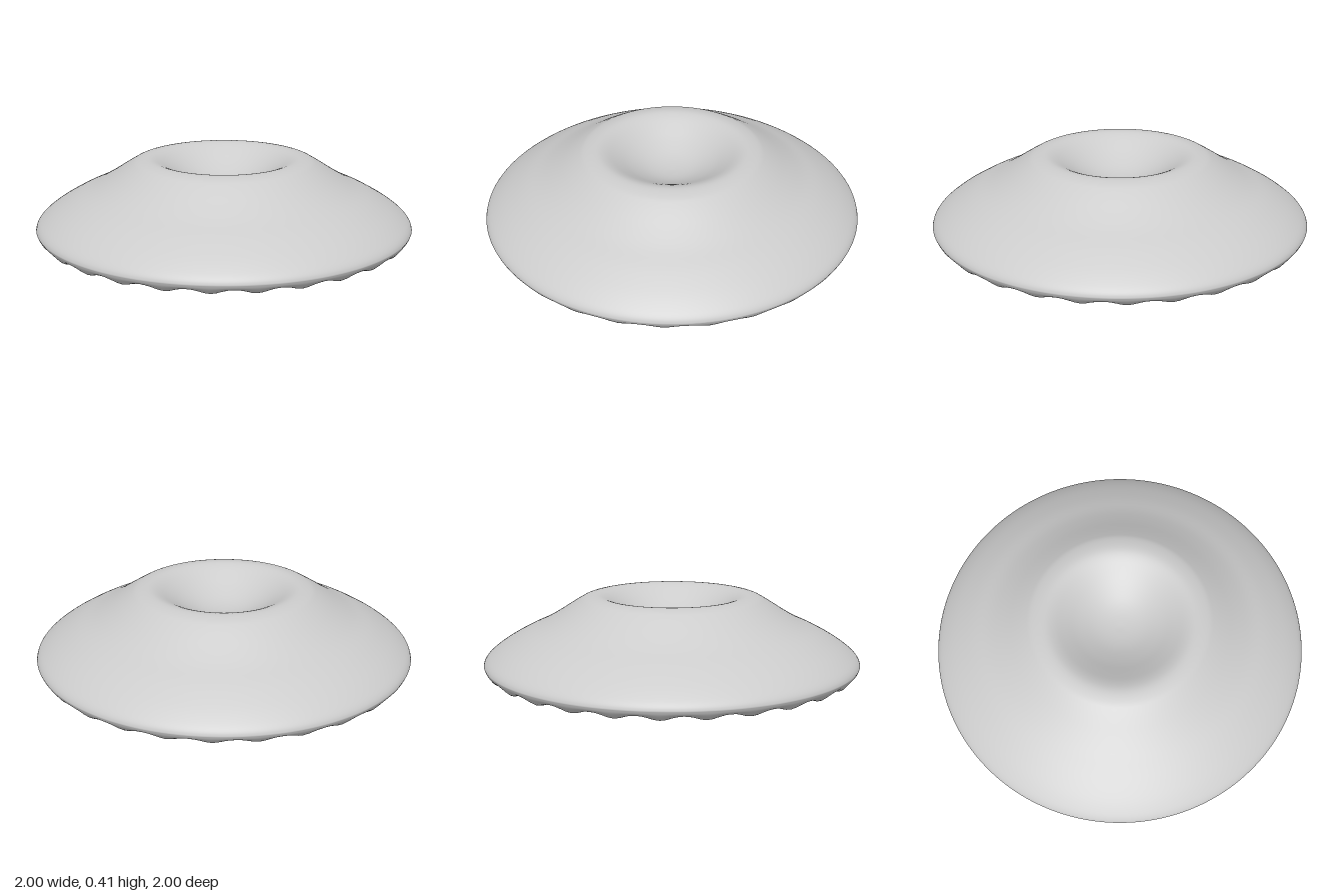
import * as THREE from 'three';
import { mergeVertices } from 'three/addons/utils/BufferGeometryUtils.js';

const GILLS = 28;
const SEGMENTS = GILLS * 8;

// smooth profile through [radius, height] points
function profile(points, count) {
  const curve = new THREE.SplineCurve(points.map(([r, y]) => new THREE.Vector2(r, y)));
  return curve.getPoints(count).map((p) => new THREE.Vector2(THREE.MathUtils.clamp(p.x, 0, 1), p.y));
}

export function createModel() {
  const group = new THREE.Group();
  group.name = 'mushroomCap';

  // hollow underside, from the centre out to the widest edge
  const under = profile([
    [0, 0.105], [0.12, 0.112], [0.3, 0.138], [0.5, 0.138], [0.7, 0.1],
    [0.85, 0.048], [0.93, 0.014], [0.965, 0.014], [0.99, 0.034], [1, 0.055],
  ], 44);
  // upper side, from the edge over the raised ring into the shallow dimple
  const upper = profile([
    [1, 0.055], [0.992, 0.075], [0.965, 0.103], [0.9, 0.15], [0.8, 0.207],
    [0.7, 0.254], [0.62, 0.3], [0.55, 0.345], [0.5, 0.376], [0.46, 0.396],
    [0.4, 0.406], [0.35, 0.394], [0.29, 0.362], [0.22, 0.322], [0.14, 0.286],
    [0.07, 0.268], [0, 0.262],
  ], 56).slice(1);

  const points = [...under, ...upper];
  const geometry = new THREE.LatheGeometry(points, SEGMENTS);

  // radial gills: ripple the underside, fading out at the centre and the edge
  const pos = geometry.attributes.position;
  for (let i = 0; i < pos.count; i++) {
    if (i % points.length >= under.length) continue;
    const x = pos.getX(i), z = pos.getZ(i), r = Math.hypot(x, z);
    const depth = THREE.MathUtils.lerp(0.018, 0.012, THREE.MathUtils.smoothstep(r, 0.5, 0.92));
    const fade = THREE.MathUtils.smoothstep(r, 0, 0.3) * (1 - THREE.MathUtils.smoothstep(r, 0.95, 1));
    pos.setY(i, Math.max(0, pos.getY(i) - depth * fade * Math.cos(GILLS * Math.atan2(x, z))));
  }

  // weld the seam so the shading stays smooth all round
  geometry.deleteAttribute('normal');
  geometry.deleteAttribute('uv');
  const smooth = mergeVertices(geometry, 1e-5);
  smooth.computeVertexNormals();

  const cap = new THREE.Mesh(smooth, new THREE.MeshStandardMaterial({ color: 0xcccccc }));
  cap.name = 'capWithGills';
  group.add(cap);
  return group;
}
